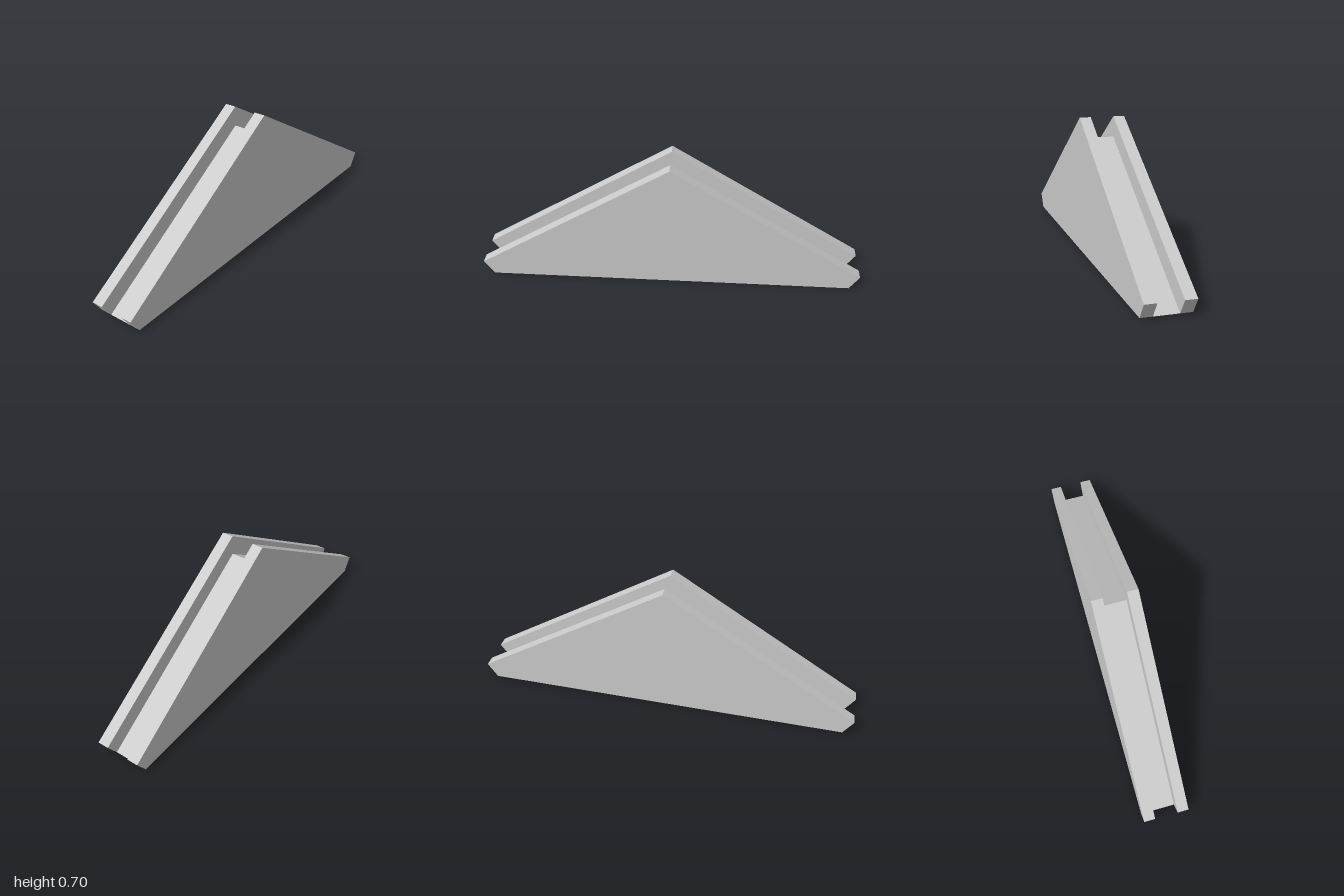
import * as THREE from 'three';

const OUT = 0.118, IN = 0.06; // outer and inner z of the two gable plates

// Gable outline and the lower roof between the plates, from +x over the top to -x
const gable = [[0.95, 0], [1, 0.077], [0, 0.7], [-1, 0.077], [-0.95, 0]];
const valley = [[0.95, 0], [0, 0.595], [-0.95, 0]];

const material = new THREE.MeshStandardMaterial({ color: 0xcccccc, flatShading: true, side: THREE.DoubleSide });

// Strip that sweeps a path in x,y from z0 to z1, facing outward
function ribbon(path, z0, z1) {
  const pos = [];
  for (let i = 0; i < path.length - 1; i++) {
    const [a, b] = [path[i], path[i + 1]];
    pos.push(...a, z0, ...b, z0, ...b, z1, ...a, z0, ...b, z1, ...a, z1);
  }
  const g = new THREE.BufferGeometry();
  g.setAttribute('position', new THREE.Float32BufferAttribute(pos, 3));
  g.computeVertexNormals();
  return g;
}

// Flat upright wall at depth z, facing +z or -z
function wall(points, z, facing) {
  const g = new THREE.ShapeGeometry(new THREE.Shape(points.map(p => new THREE.Vector2(...p))));
  if (facing < 0) g.rotateY(Math.PI); // outlines are symmetric in x
  return g.translate(0, 0, z);
}

export function createModel() {
  const model = new THREE.Group();
  const add = (parent, name, geometry) => {
    const mesh = new THREE.Mesh(geometry, material);
    mesh.name = name;
    parent.add(mesh);
  };

  // Two hollow gable plates, open underneath
  for (const s of [1, -1]) {
    const plate = new THREE.Group();
    plate.name = s > 0 ? 'frontGable' : 'backGable';
    add(plate, 'outerWall', wall(gable, s * OUT, s));
    // Inner wall shows only above the lower roof, one half per slope
    for (const side of [1, -1]) {
      const half = [[0.95, 0], [1, 0.077], [0, 0.7], [0, 0.595]].map(([x, y]) => [x * side, y]);
      add(plate, 'innerWall', wall(half.map(([x, y]) => [s > 0 ? -x : x, y]), s * IN, -s));
    }
    add(plate, 'gableEdge', s > 0 ? ribbon(gable, IN, OUT) : ribbon(gable, -OUT, -IN));
    model.add(plate);
  }

  // Recessed roof between the plates
  add(model, 'recessedRoof', ribbon(valley, -IN, IN));
  return model;
}
